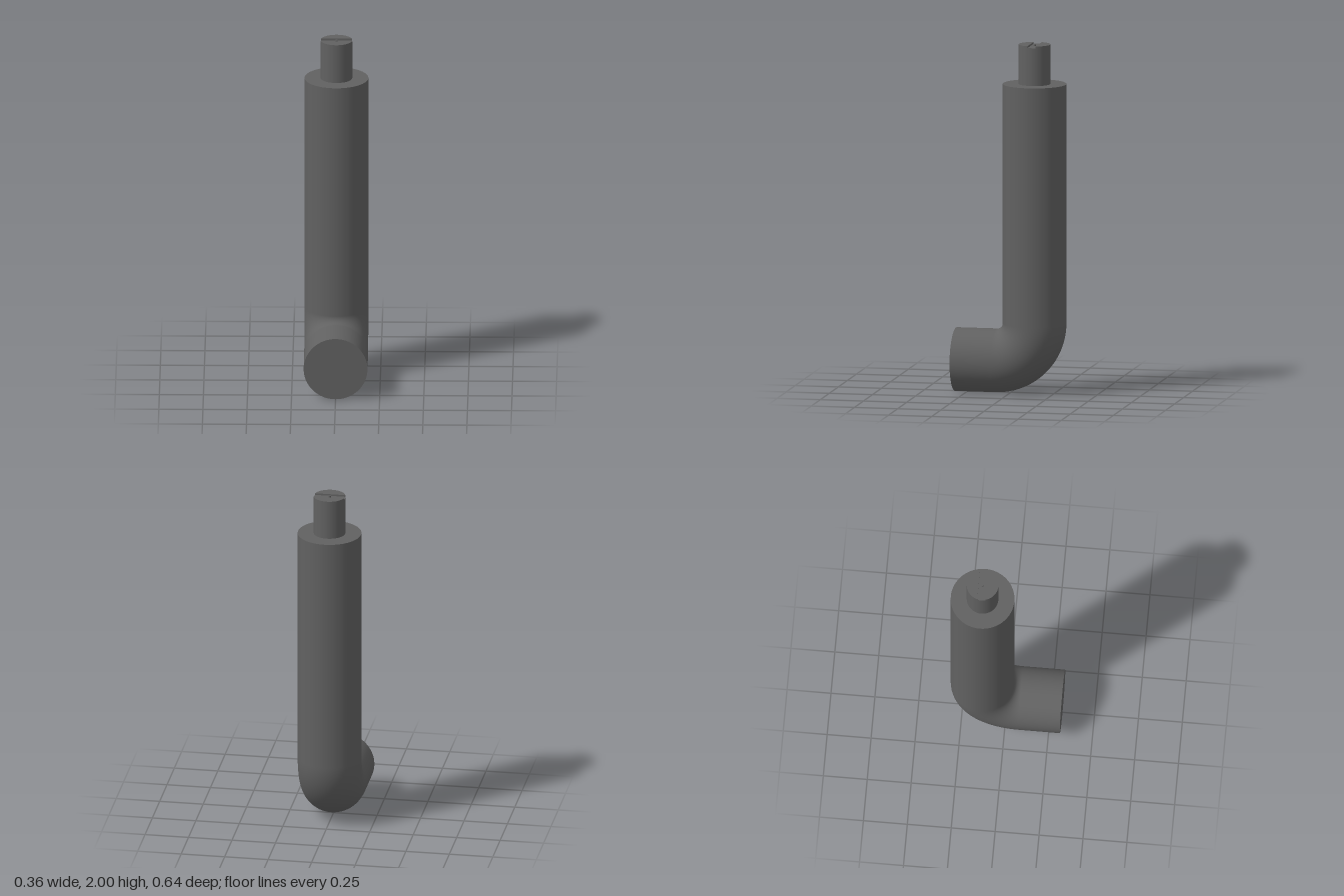
import * as THREE from 'three';

const SIDES = 64;
const R = 0.181;        // main bar radius
const BEND = 0.22;      // centreline radius of the elbow
const AXIS_Z = -0.137;  // upright axis
const ELBOW_Y = R + BEND, ELBOW_Z = AXIS_Z + BEND;
const SHOULDER = 1.773, FRONT = 0.318;
const PIN_R = 0.09, SLOT_HALF = 0.023, SLOT_DEPTH = 0.01;

export function createModel() {
  const group = new THREE.Group();
  const material = new THREE.MeshStandardMaterial({ color: 0x616161 });

  function add(name, geometry) {
    const mesh = new THREE.Mesh(geometry, material);
    mesh.name = name;
    group.add(mesh);
    return mesh;
  }

  // Upright cylinder on the main axis between two heights
  function upright(name, radius, y0, y1, sides = SIDES) {
    const mesh = add(name, new THREE.CylinderGeometry(radius, radius, y1 - y0, sides));
    mesh.position.set(0, (y0 + y1) / 2, AXIS_Z);
  }

  upright('uprightBar', R, ELBOW_Y, SHOULDER);

  // Quarter bend from the upright to the foot
  const elbow = new THREE.TorusGeometry(BEND, R, SIDES, 32, Math.PI / 2);
  elbow.applyMatrix4(new THREE.Matrix4().makeBasis(
    new THREE.Vector3(0, 0, -1), new THREE.Vector3(0, -1, 0), new THREE.Vector3(-1, 0, 0)));
  add('elbow', elbow).position.set(0, ELBOW_Y, ELBOW_Z);

  // Short horizontal foot facing the front
  const foot = add('foot', new THREE.CylinderGeometry(R, R, FRONT - ELBOW_Z, SIDES));
  foot.rotation.x = Math.PI / 2;
  foot.position.set(0, R, (FRONT + ELBOW_Z) / 2);

  // Reduced pin at the top
  upright('pin', PIN_R, SHOULDER, 2 - SLOT_DEPTH);

  // Two raised segments leave a slot across the pin's end
  const a = Math.asin(SLOT_HALF / PIN_R);
  const segment = new THREE.Shape();
  segment.absarc(0, 0, PIN_R, a, Math.PI - a, false);
  segment.closePath();
  const lip = new THREE.ExtrudeGeometry(segment, { depth: SLOT_DEPTH, bevelEnabled: false, curveSegments: 32 });
  lip.rotateX(-Math.PI / 2);
  for (const [name, turn] of [['backSlotLip', 0], ['frontSlotLip', Math.PI]]) {
    const mesh = add(name, lip);
    mesh.rotation.y = turn;
    mesh.position.set(0, 2 - SLOT_DEPTH, AXIS_Z);
  }

  // Tiny centre stud in the slot
  upright('centreStud', 0.007, 2 - SLOT_DEPTH, 2, 24);

  return group;
}
